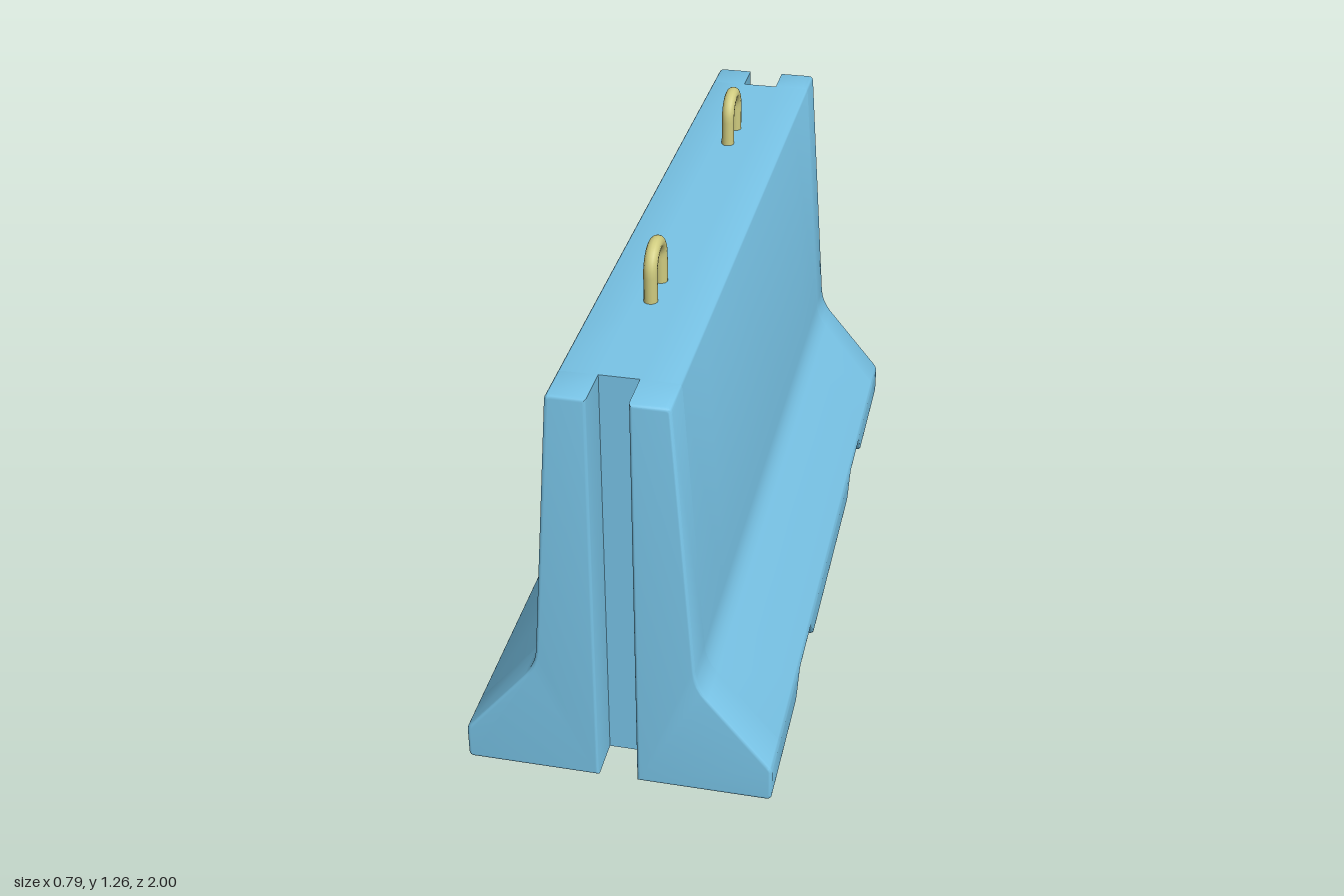
import * as THREE from 'three';
import { toCreasedNormals } from 'three/addons/utils/BufferGeometryUtils.js';

const HEIGHT = 1.115, SLOT_X = 0.049, SLOT_Z = 0.888, EDGE = 0.009;

// Right half of the cross-section, counter-clockwise: x, y, corner rounding
const CORNERS = [
  [SLOT_X, 0, 0], [0.393, 0, 0.014], [0.393, 0.098, 0.015],
  [0.203, 0.328, 0.045], [0.147, HEIGHT, 0.014], [SLOT_X, HEIGHT, 0],
];

function roundedOutline(corners) {
  const pts = corners.map(([x, y]) => new THREE.Vector2(x, y));
  return corners.flatMap(([, , r], i) => {
    if (!r) return [pts[i]];
    const toward = (q) => q.clone().sub(pts[i]).setLength(r).add(pts[i]);
    return new THREE.QuadraticBezierCurve(toward(pts[i - 1]), pts[i], toward(pts[i + 1])).getPoints(4);
  });
}

const mirrored = (pts) => pts.map((p) => new THREE.Vector2(-p.x, p.y)).reverse();

// Shrink a closed counter-clockwise outline by d
function inset(pts, d) {
  const n = pts.length;
  const normal = (a, b) => new THREE.Vector2(b.y - a.y, a.x - b.x).normalize();
  return pts.map((p, i) => {
    const n1 = normal(pts[(i + n - 1) % n], p), n2 = normal(p, pts[(i + 1) % n]);
    const k = -d / (1 + n1.dot(n2));
    return n1.add(n2).multiplyScalar(k).add(p);
  });
}

// Skin closed outlines along +z; optionally cap the last one
function loft(stations, cap) {
  const n = stations[0].pts.length, pos = [], index = [];
  for (const { pts, z } of stations) for (const p of pts) pos.push(p.x, p.y, z);
  for (let s = 0; s < stations.length - 1; s++) {
    for (let i = 0; i < n; i++) {
      const a = s * n + i, b = s * n + (i + 1) % n;
      index.push(a, b, b + n, a, b + n, a + n);
    }
  }
  if (cap) {
    const last = (stations.length - 1) * n;
    for (const f of THREE.ShapeUtils.triangulateShape(stations.at(-1).pts, [])) {
      index.push(...f.map((v) => v + last));
    }
  }
  const g = new THREE.BufferGeometry();
  g.setAttribute('position', new THREE.Float32BufferAttribute(pos, 3));
  g.setIndex(index);
  return toCreasedNormals(g, 0.6);
}

export function createModel() {
  const model = new THREE.Group();
  model.name = 'roadBarrier';
  const concrete = new THREE.MeshStandardMaterial({ color: 0x79c5e8 });
  const metal = new THREE.MeshStandardMaterial({ color: 0xd0cc80 });
  const add = (parent, geometry, material, name) => {
    const mesh = new THREE.Mesh(geometry, material);
    mesh.name = name;
    parent.add(mesh);
    return mesh;
  };

  const half = roundedOutline(CORNERS);
  const whole = [...half, ...mirrored(half)];

  // Main body, its underside lifted in two forklift channels
  const stations = [{ z: -SLOT_Z, pts: whole }];
  for (const centre of [-0.478, 0.478]) {
    for (const side of [-1, 1]) {
      for (let i = 0; i <= 10; i++) {
        const t = side < 0 ? i / 10 : 1 - i / 10;
        const lift = 0.068 * t * t * (3 - 2 * t);
        const pts = whole.map((p) => new THREE.Vector2(p.x, p.y < 0.05 ? p.y + lift : p.y));
        stations.push({ z: centre + side * (0.158 - 0.075 * t), pts });
      }
    }
  }
  stations.push({ z: SLOT_Z, pts: whole });
  add(model, loft(stations, false), concrete, 'body');

  // Slotted ends with softened edges
  for (const [name, turn] of [['frontEnd', 0], ['backEnd', Math.PI]]) {
    const end = new THREE.Group();
    end.name = name;
    end.rotation.y = turn;
    for (const [sideName, outline] of [['leftJaw', half], ['rightJaw', mirrored(half)]]) {
      const rings = [{ z: SLOT_Z, pts: outline }];
      for (let i = 0; i <= 4; i++) {
        const a = (i / 4) * Math.PI / 2;
        rings.push({
          z: 1 - EDGE + EDGE * Math.sin(a),
          pts: inset(outline, EDGE * (1 - Math.cos(a))),
        });
      }
      add(end, loft(rings, true), concrete, sideName);
    }
    add(end, new THREE.PlaneGeometry(SLOT_X * 2, HEIGHT), concrete, 'slotWall')
      .position.set(0, HEIGHT / 2, SLOT_Z);
    model.add(end);
  }

  // Lifting loops
  const path = new THREE.CurvePath();
  const R = 0.055, archY = 1.188, footY = 1.09;
  const arch = Array.from({ length: 17 }, (_, i) => {
    const a = (i / 16) * Math.PI;
    return new THREE.Vector3(0, archY + R * Math.sin(a), R * Math.cos(a));
  });
  path.add(new THREE.LineCurve3(new THREE.Vector3(0, footY, R), arch[0]));
  path.add(new THREE.CatmullRomCurve3(arch));
  path.add(new THREE.LineCurve3(arch[16], new THREE.Vector3(0, footY, -R)));
  const loopGeometry = new THREE.TubeGeometry(path, 48, 0.0175, 14);
  for (const [name, z] of [['frontLiftingLoop', 0.467], ['backLiftingLoop', -0.496]]) {
    add(model, loopGeometry, metal, name).position.set(-0.012, 0, z);
  }
  return model;
}
